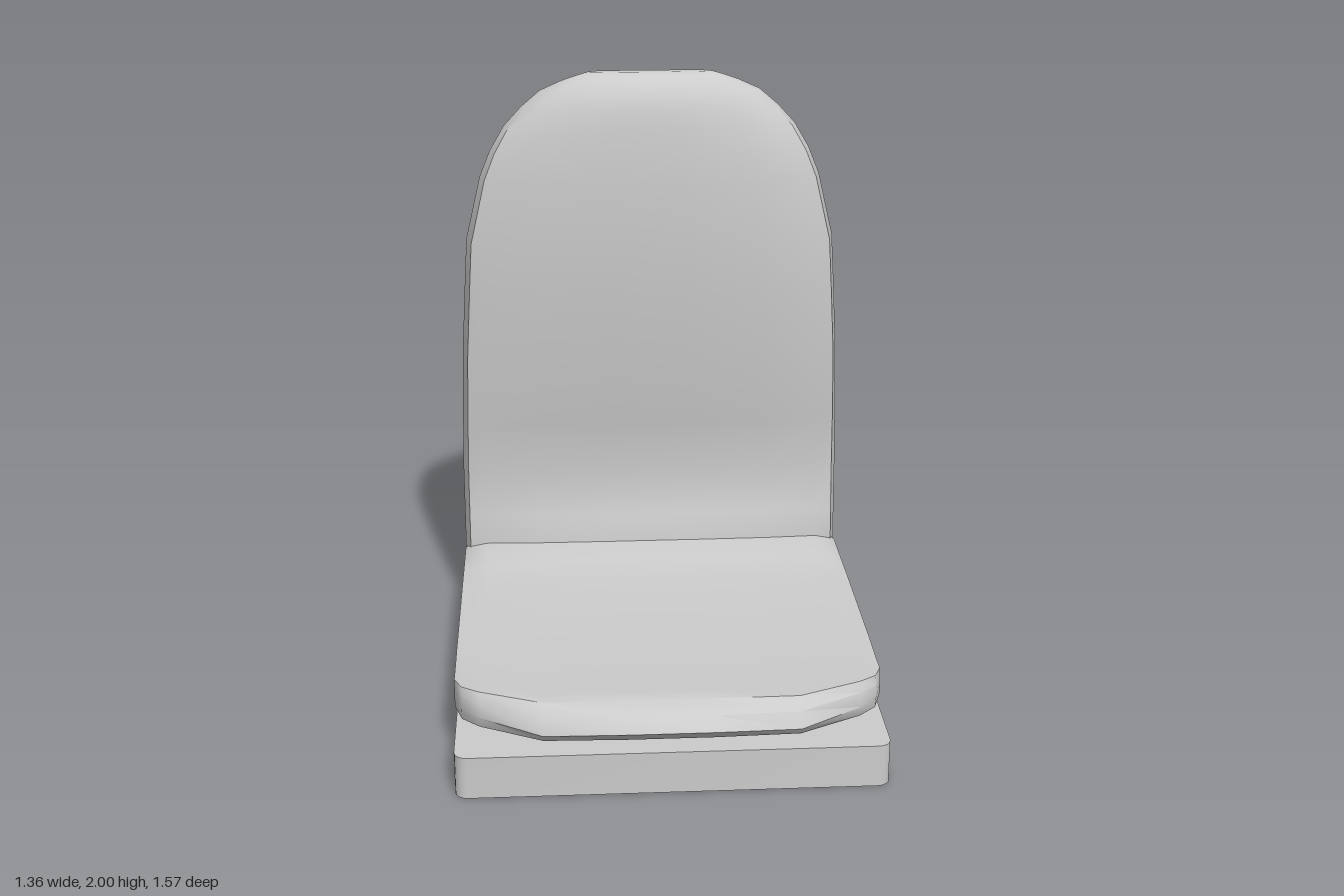
import * as THREE from 'three';
import { toCreasedNormals } from 'three/addons/utils/BufferGeometryUtils.js';

// Skins closed rings of Vector3, with optional fan caps
function loft(rings, capStart, capEnd, crease) {
  const pos = [];
  const tri = (...pts) => pts.forEach((p) => pos.push(p.x, p.y, p.z));
  const n = rings[0].length;
  for (let i = 0; i < rings.length - 1; i++) {
    for (let j = 0; j < n; j++) {
      const k = (j + 1) % n;
      const a = rings[i][j], b = rings[i][k], c = rings[i + 1][k], d = rings[i + 1][j];
      tri(a, b, c);
      tri(a, c, d);
    }
  }
  const cap = (ring, flip) => {
    const mid = ring.reduce((s, p) => s.add(p), new THREE.Vector3()).divideScalar(n);
    ring.forEach((p, j) => {
      const q = ring[(j + 1) % n];
      if (flip) tri(mid, q, p);
      else tri(mid, p, q);
    });
  };
  if (capStart) cap(rings[0], true);
  if (capEnd) cap(rings[rings.length - 1], false);
  const g = new THREE.BufferGeometry();
  g.setAttribute('position', new THREE.Float32BufferAttribute(pos, 3));
  return toCreasedNormals(g, crease);
}

// Horizontal backrest section: rounded front, soft sides, flat back
function backRing([y, w, zf, drop, zs, zb, wb]) {
  const half = [
    [0.2 * w, zf],
    [0.6 * w, zf - 0.2 * drop],
    [0.88 * w, zf - 0.65 * drop],
    [0.97 * w, zf - drop],
    [w, zs],
    [0.55 * w + 0.45 * wb, 0.55 * zs + 0.45 * zb],
    [wb, zb],
  ];
  const left = half.map(([x, z]) => new THREE.Vector3(x, y, z));
  const right = half.map(([x, z]) => new THREE.Vector3(-x, y, z)).reverse();
  return [...left, ...right];
}

// Seat section in the yz plane at one x
function seatRing([x, zf, lip, top, rear, low, bottom]) {
  return [
    [zf - lip - 0.05, bottom],
    [-0.52, bottom],
    [-0.52, rear],
    [-0.43, rear],
    [-0.33, 0.26 + (rear - 0.26) * 0.4],
    [-0.2, 0.262],
    [0.3, 0.26],
    [zf - lip - 0.06, top - 0.003],
    [zf - lip, top],
    [zf - lip * 0.35, top * 0.6 + low * 0.4],
    [zf, low],
    [zf - lip * 0.5, (low + bottom) / 2 - 0.012],
  ].map(([z, y]) => new THREE.Vector3(x, y, z));
}

export function createModel() {
  const group = new THREE.Group();
  const material = new THREE.MeshStandardMaterial({ color: 0xcccccc, side: THREE.DoubleSide });
  const add = (name, geometry) => {
    const mesh = new THREE.Mesh(geometry, material);
    mesh.name = name;
    group.add(mesh);
  };

  // Base: rounded rectangular tray, open underneath
  const r = 0.04, steps = 4;
  const baseRing = (y) => {
    const pts = [];
    [[1, 1], [1, -1], [-1, -1], [-1, 1]].forEach(([sx, sz], q) => {
      for (let s = 0; s <= steps; s++) {
        const t = (q + s / steps) * Math.PI / 2;
        pts.push(new THREE.Vector3(sx * (0.675 - r) + r * Math.sin(t), y, sz * (0.785 - r) + r * Math.cos(t)));
      }
    });
    return pts;
  };
  add('base', loft([baseRing(0), baseRing(0.14)], false, true, 0.6));

  // Seat: x, front z, lip depth, top y, rear y, lip y, bottom y
  const seatHalf = [
    [0.13, 0.778, 0.088, 0.27, 0.31, 0.2, 0.142],
    [0.4, 0.74, 0.06, 0.266, 0.306, 0.182, 0.142],
    [0.6, 0.635, 0.03, 0.27, 0.298, 0.195, 0.142],
    [0.655, 0.585, 0.025, 0.265, 0.28, 0.2, 0.142],
    [0.68, 0.51, 0.015, 0.258, 0.26, 0.21, 0.145],
  ];
  const seatRows = [...seatHalf.map(([x, ...s]) => [-x, ...s]).reverse(), ...seatHalf];
  add('seat', loft(seatRows.map(seatRing), true, true, 0.6));

  // Backrest: y, half width, front z, side drop, side z, back z, panel half width
  const backRows = [
    [0.142, 0.68, -0.44, 0.05, -0.54, -0.64, 0.56],
    [0.31, 0.68, -0.432, 0.055, -0.555, -0.665, 0.56],
    [0.4, 0.68, -0.468, 0.03, -0.565, -0.678, 0.56],
    [0.55, 0.68, -0.495, 0.02, -0.575, -0.692, 0.56],
    [0.75, 0.675, -0.465, 0.03, -0.57, -0.705, 0.55],
    [1.0, 0.667, -0.43, 0.045, -0.56, -0.72, 0.54],
    [1.24, 0.652, -0.412, 0.058, -0.55, -0.733, 0.53],
    [1.42, 0.64, -0.4, 0.07, -0.55, -0.743, 0.46],
    [1.64, 0.587, -0.402, 0.08, -0.55, -0.755, 0.37],
    [1.73, 0.55, -0.406, 0.082, -0.55, -0.76, 0.34],
    [1.815, 0.5, -0.414, 0.085, -0.55, -0.765, 0.31],
    [1.88, 0.44, -0.422, 0.085, -0.55, -0.72, 0.28],
    [1.935, 0.375, -0.438, 0.075, -0.55, -0.662, 0.24],
    [1.97, 0.3, -0.465, 0.05, -0.54, -0.61, 0.21],
    [1.99, 0.245, -0.488, 0.025, -0.53, -0.575, 0.19],
    [2.0, 0.21, -0.51, 0.01, -0.53, -0.55, 0.17],
  ];
  add('backrest', loft(backRows.map(backRing), true, true, 0.55));

  return group;
}
